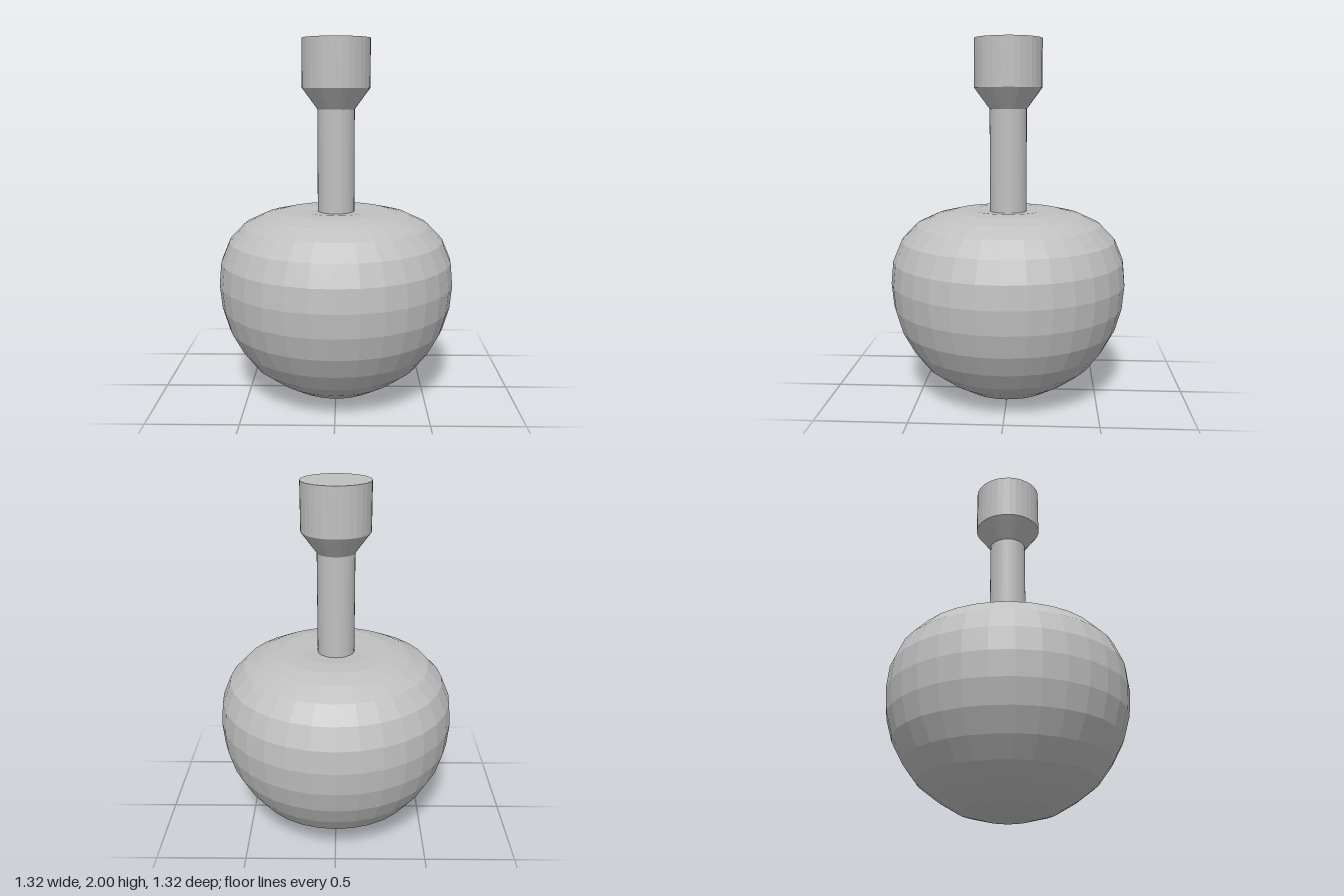
import * as THREE from 'three';

const SIDES = 32;

export function createModel() {
  const model = new THREE.Group();
  model.name = 'appleWithStem';
  const grey = new THREE.MeshStandardMaterial({ color: 0xc0c0c0, flatShading: true });
  grey.name = 'plainGrey';

  // Turned part from [radius, height] pairs, listed from the bottom up
  function turned(name, profile) {
    const points = profile.map(([r, y]) => new THREE.Vector2(r, y));
    const mesh = new THREE.Mesh(new THREE.LatheGeometry(points, SIDES), grey);
    mesh.name = name;
    model.add(mesh);
  }

  // Round body with a tapered bottom and a shallow dimple on top
  turned('body', [
    [0, 0], [0.13, 0.005], [0.26, 0.04], [0.37, 0.105], [0.475, 0.185],
    [0.55, 0.285], [0.612, 0.4], [0.648, 0.525], [0.66, 0.655], [0.648, 0.78],
    [0.6, 0.895], [0.518, 0.98], [0.412, 1.03], [0.305, 1.055], [0.2, 1.06],
    [0.1, 1.052], [0, 1.045],
  ]);

  // Thin stem
  turned('stem', [[0, 1.03], [0.103, 1.03], [0.103, 1.62], [0, 1.62]]);

  // Flared cap: cone below, straight drum above
  turned('cap', [[0, 1.62], [0.103, 1.62], [0.188, 1.735], [0.188, 2], [0, 2]]);

  return model;
}
